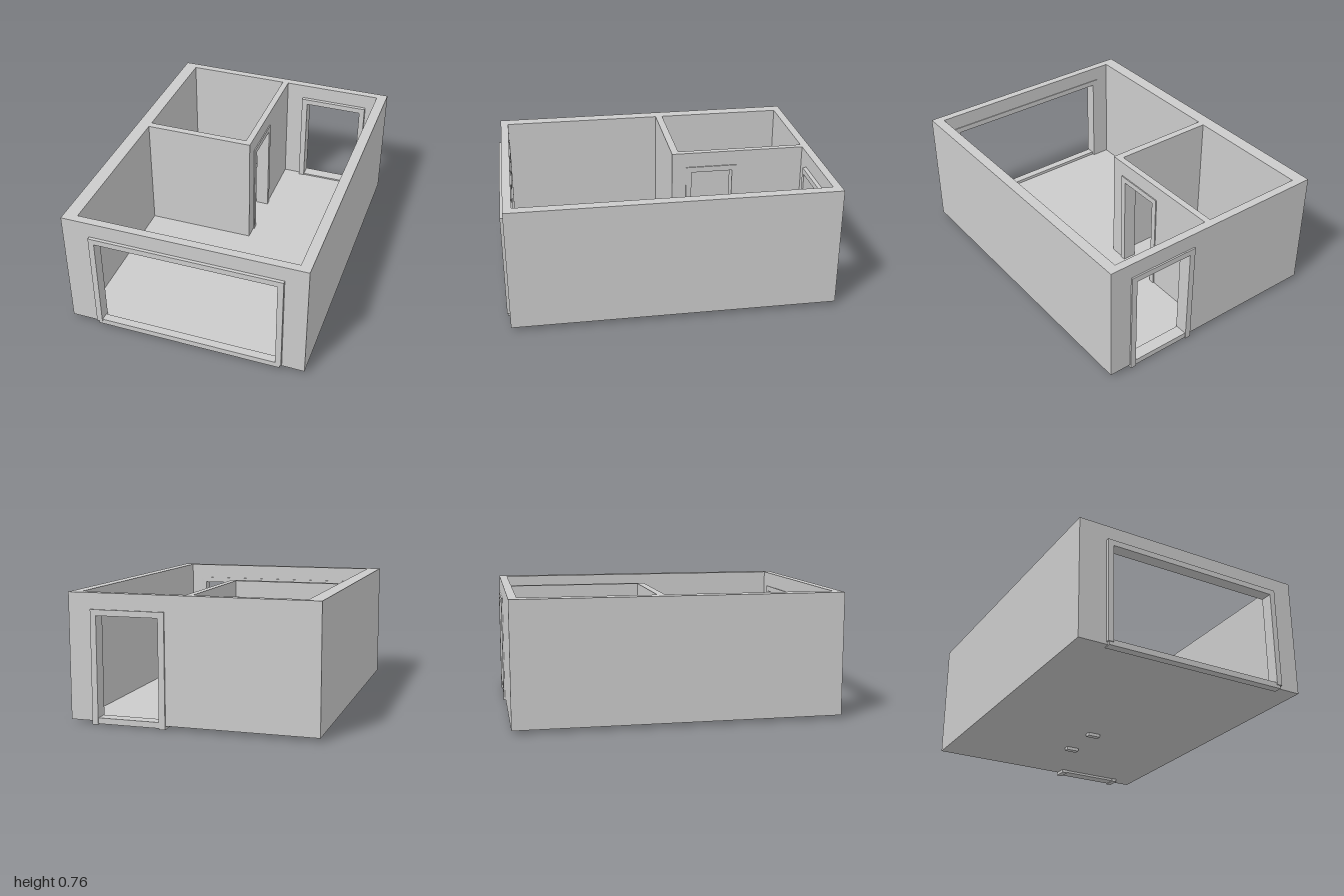
import * as THREE from 'three';

const material = new THREE.MeshStandardMaterial({ color: 0xcccccc, flatShading: true });
const BASE = 0.02, FLOOR = 0.03, TOP = 0.765;
const X0 = -0.74, X1 = 0.737, Z0 = -0.99, Z1 = 0.98; // outside faces
const IX0 = -0.657, IX1 = 0.673, IZ0 = -0.94, IZ1 = 0.93; // inside faces

export function createModel() {
  const model = new THREE.Group();

  const add = (name, geometry) => {
    const mesh = new THREE.Mesh(geometry, material);
    mesh.name = name;
    model.add(mesh);
  };

  // Box given by its limits on each axis
  const block = (name, [x0, x1], [y0, y1], [z0, z1]) => {
    const g = new THREE.BoxGeometry(x1 - x0, y1 - y0, z1 - z0);
    g.translate((x0 + x1) / 2, (y0 + y1) / 2, (z0 + z1) / 2);
    add(name, g);
  };

  // Upright slab with a doorway cut from its foot; serves for walls and frames.
  // span and gap run along x, or along z when alongZ is set; depth is the other axis.
  const portal = (name, span, [y0, y1], gap, gapTop, depth, alongZ = false) => {
    const outline = [
      [span[0], y0], [gap[0], y0], [gap[0], gapTop], [gap[1], gapTop],
      [gap[1], y0], [span[1], y0], [span[1], y1], [span[0], y1],
    ].map(([u, y]) => new THREE.Vector2(u, y));
    const g = new THREE.ExtrudeGeometry(new THREE.Shape(outline), {
      depth: depth[1] - depth[0], bevelEnabled: false,
    });
    if (alongZ) g.rotateY(-Math.PI / 2).translate(depth[1], 0, 0);
    else g.translate(0, 0, depth[0]);
    add(name, g);
  };

  // Floor and outer walls
  block('floor', [X0, X1], [BASE, FLOOR], [Z0, Z1]);
  block('rightWall', [X0, IX0], [FLOOR, TOP], [Z0, Z1]);
  block('leftWall', [IX1, X1], [FLOOR, TOP], [Z0, Z1]);
  portal('frontWall', [IX0, IX1], [FLOOR, TOP], [-0.555, 0.585], 0.65, [IZ1, Z1]);
  portal('backWall', [IX0, IX1], [FLOOR, TOP], [0.17, 0.585], 0.65, [Z0, IZ0]);

  // Partition walls of the corner room
  block('roomFrontWall', [IX0, 0.04], [FLOOR, TOP], [-0.135, -0.09]);
  portal('roomSideWall', [IZ0, -0.135], [FLOOR, TOP], [-0.495, -0.2], 0.65, [0, 0.04], true);

  // Wide front opening: frame and sill
  portal('frontOpeningFrame', [-0.57, 0.6], [0.035, 0.67], [-0.535, 0.565], 0.635, [0.925, 1]);
  block('frontSill', [-0.56, 0.59], [0.015, 0.05], [0.945, 0.995]);

  // Back doorway: frame and sill
  portal('backDoorFrame', [0.153, 0.6], [0, 0.67], [0.19, 0.565], 0.635, [-1, -0.915]);
  block('backSill', [0.165, 0.59], [0.005, 0.04], [-0.995, -0.92]);

  // Inner doorway frame
  portal('innerDoorFrame', [-0.515, -0.18], [0, 0.67], [-0.48, -0.215], 0.635, [-0.037, 0.047], true);

  return model;
}
